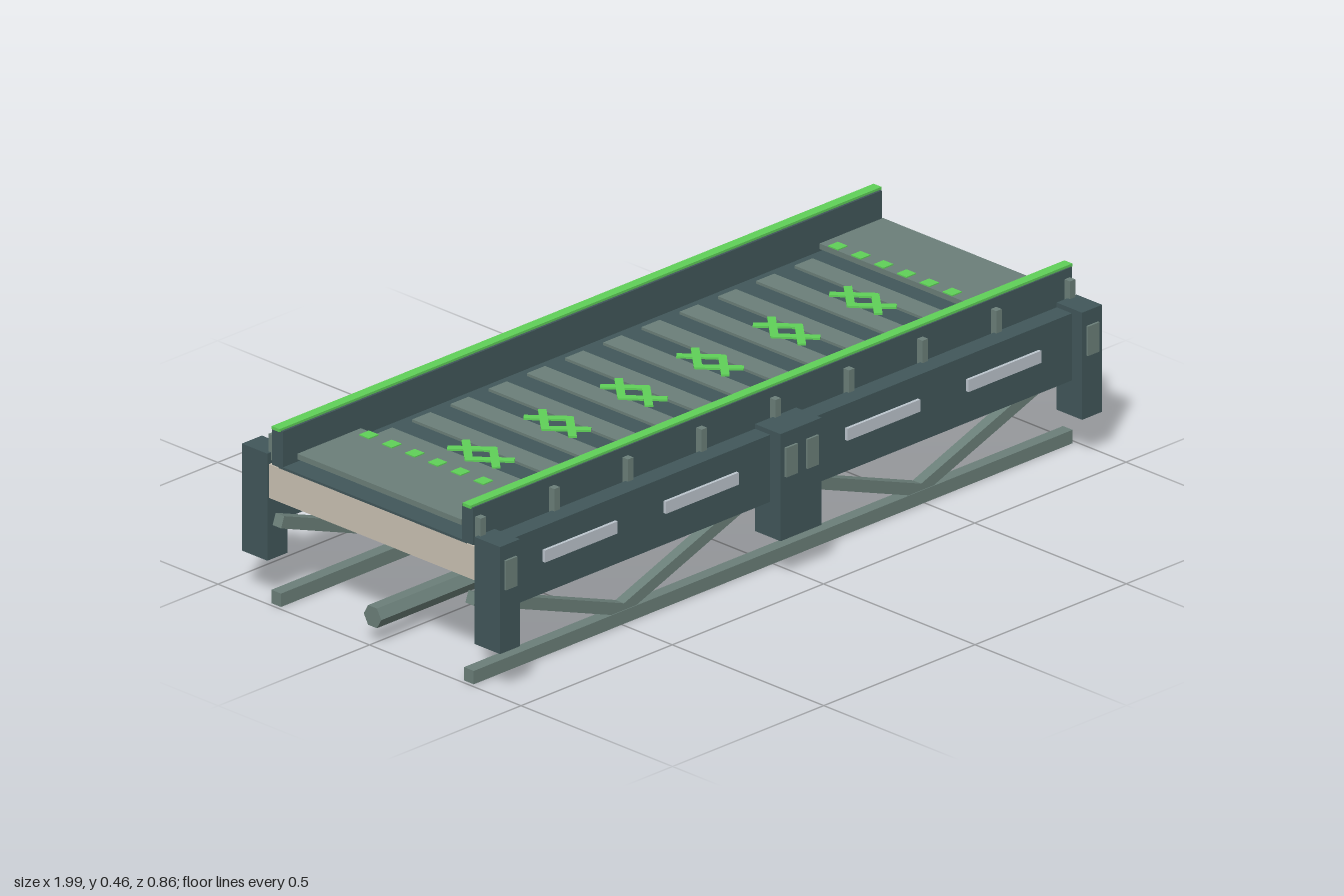
import * as THREE from 'three';

const mat = (name, color) => {
  const m = new THREE.MeshStandardMaterial({ color });
  m.name = name;
  return m;
};

export function createModel() {
  const model = new THREE.Group();
  model.name = 'bridgeSection';
  const dark = mat('darkSteel', 0x41575a);
  const grey = mat('greyGreenSteel', 0x6b7f79);
  const beige = mat('beigeConcrete', 0xcac1b3);
  const green = mat('glowGreen', 0x5fd058);
  const pale = mat('paleVent', 0xbcc5cd);

  // box given by its min and max on each axis
  const box = (name, m, [x0, x1], [y0, y1], [z0, z1], parent = model) => {
    const mesh = new THREE.Mesh(new THREE.BoxGeometry(x1 - x0, y1 - y0, z1 - z0), m);
    mesh.position.set((x0 + x1) / 2, (y0 + y1) / 2, (z0 + z1) / 2);
    mesh.name = name;
    parent.add(mesh);
    return mesh;
  };
  const around = (c, w) => [c - w / 2, c + w / 2];

  // deck slab and its dark surface
  box('deckSlab', beige, [-0.99, 0.99], [0.266, 0.352], [-0.347, 0.347]);
  box('deckSurface', dark, [-0.99, 0.99], [0.352, 0.358], [-0.31, 0.31]);

  // cross slats
  for (let i = 0; i < 12; i++) {
    box('deckSlat', grey, around((i - 5.5) * 0.1263, 0.06), [0.363, 0.37], [-0.26, 0.26]);
  }

  // crossed arrow markings between pairs of slats
  for (let i = 0; i < 6; i++) {
    const mark = new THREE.Group();
    mark.name = 'deckMarking';
    mark.position.set((i - 2.5) * 0.2526, 0.372, 0);
    for (const sx of [-1, 1]) for (const sz of [-1, 1]) {
      const bar = box('markingBar', green, [-0.057, 0.057], [-0.002, 0.003], [-0.01, 0.01], mark);
      bar.position.set(sx * 0.007, 0, sz * 0.038);
      bar.rotation.y = sx * sz * 0.85;
    }
    model.add(mark);
  }

  // raised end plates with a row of guide lights
  for (const s of [-1, 1]) {
    const plate = box('endPlate', grey, [-0.105, 0.105], [0.38, 0.394], [-0.27, 0.27]);
    plate.position.x = s * 0.863;
    for (let i = -3; i <= 3; i++) {
      box('guideLight', green, around(s * 0.775, 0.032), [0.394, 0.397], around(i * 0.0755, 0.032));
    }
  }

  // centre pipe under the deck
  const pipeGeo = new THREE.CylinderGeometry(0.029, 0.029, 1.98, 6).toNonIndexed();
  pipeGeo.rotateZ(Math.PI / 2);
  pipeGeo.computeVertexNormals();
  const pipe = new THREE.Mesh(pipeGeo, grey);
  pipe.name = 'centrePipe';
  pipe.position.y = 0.069;
  model.add(pipe);

  // both sides, the back one turned half round
  for (const turn of [0, Math.PI]) {
    const side = new THREE.Group();
    side.name = turn ? 'backSide' : 'frontSide';
    side.rotation.y = turn;
    model.add(side);

    // parapet with light strip and brackets
    box('parapet', dark, [-0.99, 0.99], [0.354, 0.449], [0.296, 0.332], side);
    box('lightStrip', green, [-0.995, 0.995], [0.447, 0.455], [0.302, 0.328], side);
    for (let i = -4; i <= 4; i++) {
      box('parapetBracket', grey, around(i * 0.2435, 0.018), [0.36, 0.425], [0.332, 0.35], side);
    }

    // side girder with vents
    box('girder', dark, [-0.985, 0.985], [0.197, 0.368], [0.342, 0.392], side);
    for (const x of [-0.7, -0.3, 0.3, 0.7]) {
      box('vent', pale, around(x, 0.24), [0.278, 0.309], [0.392, 0.4], side);
    }

    // posts and their small cover plates
    for (const [x, w] of [[-0.962, 0.066], [0, 0.136], [0.962, 0.066]]) {
      box('post', dark, around(x, w), [0.107, 0.38], [0.342, 0.426], side);
    }
    for (const x of [-0.962, -0.035, 0.035, 0.962]) {
      box('coverPlate', grey, around(x, 0.038), [0.267, 0.342], [0.426, 0.432], side);
    }

    // truss: lower chord and zigzag braces
    box('lowerChord', grey, [-0.99, 0.99], [0, 0.034], [0.302, 0.334], side);
    const low = 0.035, high = 0.213;
    for (let i = 0; i < 4; i++) {
      const x = -0.9825 + (i + 0.5) * 0.49125;
      const rise = (i % 2 ? 1 : -1) * (high - low);
      const half = Math.hypot(0.49125, rise) / 2;
      const brace = box('trussBrace', grey, [-half, half], [-0.015, 0.015], [0.304, 0.332], side);
      brace.position.set(x, (low + high) / 2, 0.318);
      brace.rotation.z = Math.atan2(rise, 0.49125);
    }
  }
  return model;
}
